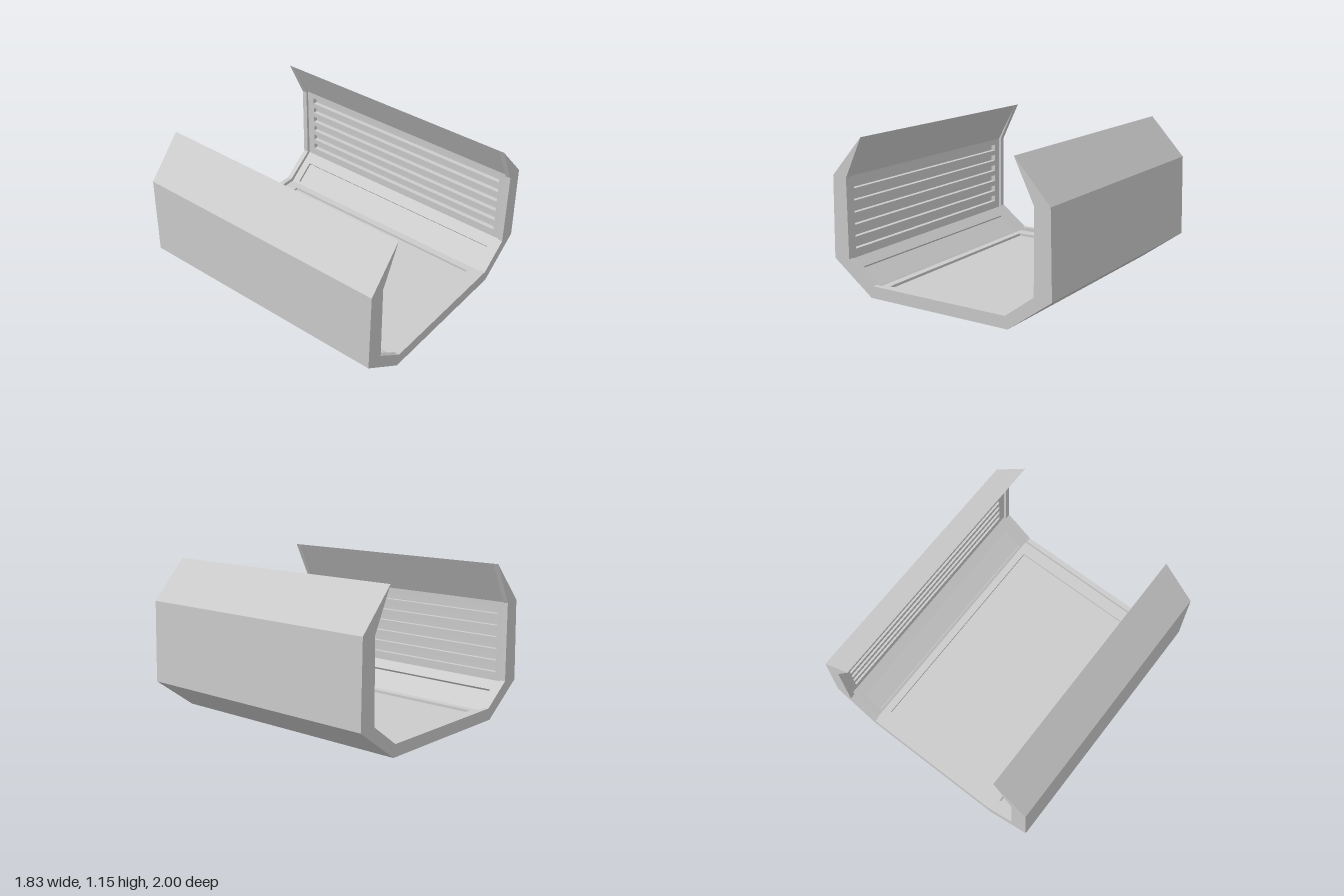
import * as THREE from 'three';

const LENGTH = 2, RIM = 0.04;

export function createModel() {
  const model = new THREE.Group();
  const material = new THREE.MeshStandardMaterial({ color: 0xcccccc, flatShading: true });

  const add = (name, geometry) => {
    const mesh = new THREE.Mesh(geometry, material);
    mesh.name = name;
    model.add(mesh);
    return mesh;
  };

  // Half profile mirrored into a closed trough section, extruded along z
  const outer = [[0.58, 0], [0.915, 0.245], [0.90, 0.86], [0.63, 1.155]];
  const section = (inner, depth, z) => {
    const half = [...outer, ...inner];
    const mirrored = half.map(([x, y]) => [-x, y]);
    // right outside, right inside, left inside, left outside
    const loop = [...half, ...mirrored.reverse()];
    const shape = new THREE.Shape(loop.map(([x, y]) => new THREE.Vector2(x, y)));
    return new THREE.ExtrudeGeometry(shape, { depth, bevelEnabled: false }).translate(0, 0, z);
  };

  // Outer shell, set back behind the inner liner, with a ledge under the lip
  const coreInner = [[0.80, 0.85], [0.84, 0.85], [0.84, 0.23], [0.58, 0.04]];
  add('shell', section(coreInner, LENGTH - 2 * RIM, -LENGTH / 2 + RIM));

  // Slightly thicker rims at both open ends
  const rimInner = [[0.78, 0.85], [0.78, 0.255], [0.56, 0.09]];
  add('frontRim', section(rimInner, RIM, LENGTH / 2 - RIM));
  add('backRim', section(rimInner, RIM, -LENGTH / 2));

  // Liner plate from a to b across the section, with rectangular openings [s0, s1, halfLength]
  const plate = (name, a, b, thickness, openings) => {
    const A = new THREE.Vector3(a[0], a[1], 0);
    const along = new THREE.Vector3(b[0], b[1], 0).sub(A);
    const width = along.length();
    along.normalize();
    const rect = (Type, s0, s1, h) => new Type([
      new THREE.Vector2(s0, -h), new THREE.Vector2(s1, -h),
      new THREE.Vector2(s1, h), new THREE.Vector2(s0, h),
    ]);
    const shape = rect(THREE.Shape, 0, width, LENGTH / 2 - RIM);
    for (const [s0, s1, h] of openings) shape.holes.push(rect(THREE.Path, s0, s1, h));
    const geometry = new THREE.ExtrudeGeometry(shape, { depth: thickness, bevelEnabled: false });
    const zAxis = new THREE.Vector3(0, 0, 1);
    const outward = along.clone().cross(zAxis);
    geometry.applyMatrix4(new THREE.Matrix4().makeBasis(along, zAxis, outward).setPosition(A));
    add(name, geometry);
    return width;
  };

  // Same plate on both sides; the right one runs in the opposite direction
  const plates = (name, a, b, thickness, openings) => {
    const width = Math.hypot(b[0] - a[0], b[1] - a[1]);
    plate('left' + name, a, b, thickness, openings);
    plate('right' + name, [-b[0], b[1]], [-a[0], a[1]], thickness,
      openings.map(([s0, s1, h]) => [width - s1, width - s0, h]));
  };

  const floorEdge = [0.575, 0.06], wallBase = [0.805, 0.24], wallTop = [0.80, 0.85];

  // Floor with a large recessed panel
  plate('floorLiner', [-floorEdge[0], floorEdge[1]], floorEdge, 0.02,
    [[0.055, 2 * floorEdge[0] - 0.055, 0.865]]);

  // Sloped lower walls with a long narrow recess
  plates('SlopeLiner', floorEdge, wallBase, 0.02, [[0.02, 0.2, 0.9]]);

  // Upright walls with six long grooves
  const grooves = [];
  for (let i = 0; i < 6; i++) grooves.push([0.065 + i * 0.09, 0.115 + i * 0.09, 0.9]);
  plates('GroovedWall', wallBase, wallTop, 0.035, grooves);

  return model;
}
